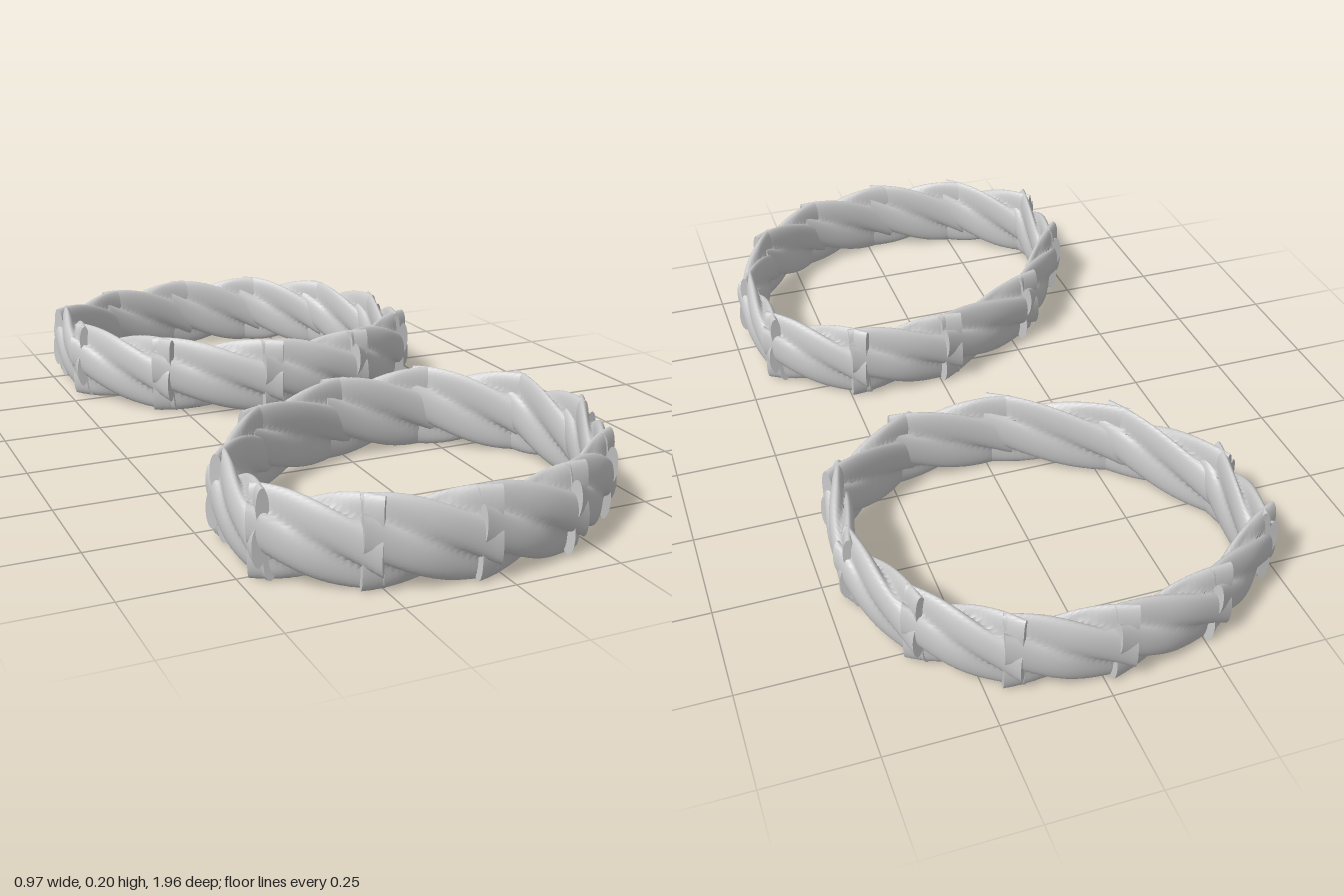
import * as THREE from 'three';

const CENTRE_Y = 0.105;
const STRANDS = 4, AROUND = 64, STEPS = 20, OVERHANG = 0.11;
const TWIST = THREE.MathUtils.degToRad(112);

// Corner points (x, z) of the slightly skewed oval band
const CORNERS = [
  [-0.03, 0.195], [0.22, 0.195], [0.415, 0.335], [0.44, 0.56], [0.355, 0.77], [0.185, 0.905],
  [-0.04, 0.945], [-0.27, 0.9], [-0.45, 0.765], [-0.45, 0.55], [-0.29, 0.325],
];

// Outline of round strands bundled together, as a radius for each angle
function bundleRadius(angle) {
  const step = (Math.PI * 2) / STRANDS;
  const a = angle - Math.round(angle / step) * step;
  const d = 0.57, q = 0.43;
  return d * Math.cos(a) + Math.sqrt(q * q - (d * Math.sin(a)) ** 2);
}

// One twisted length of rope between two corners, flared and overshooting at both ends
function ropePiece([x0, z0], [x1, z1]) {
  const dx = x1 - x0, dz = z1 - z0, len = Math.hypot(dx, dz);
  const ox = dz / len, oz = -dx / len; // outward direction
  const pos = [], index = [];
  const ring = (u) => {
    const twist = Math.PI / STRANDS + (u - 0.5) * TWIST;
    const flare = Math.abs(2 * u - 1) ** 3;
    const halfDepth = 0.028 + 0.005 * flare;
    const halfHeight = 0.1 + 0.003 * flare;
    const bulge = 0.012 * Math.sin(Math.PI * u);
    for (let j = 0; j < AROUND; j++) {
      const t = (j / AROUND) * Math.PI * 2;
      const r = bundleRadius(t - twist);
      // Only the outer face arches; the inner face stays straight
      const out = Math.cos(t) * r * halfDepth + bulge * Math.max(0, Math.cos(t));
      pos.push(x0 + dx * u + ox * out, Math.sin(t) * r * halfHeight, z0 + dz * u + oz * out);
    }
  };
  const at = (i) => -OVERHANG + (1 + 2 * OVERHANG) * (i / STEPS);
  for (let i = 0; i <= STEPS; i++) ring(at(i));
  for (let i = 0; i < STEPS; i++) {
    for (let j = 0; j < AROUND; j++) {
      const k = (j + 1) % AROUND;
      const a = i * AROUND + j, b = i * AROUND + k, c = a + AROUND, d = b + AROUND;
      index.push(a, b, c, b, d, c);
    }
  }
  // Flat cut ends with their own vertices, so the edges stay sharp
  for (const end of [0, 1]) {
    const u = at(end * STEPS), start = pos.length / 3;
    ring(u);
    const centre = pos.length / 3;
    pos.push(x0 + dx * u, 0, z0 + dz * u);
    for (let j = 0; j < AROUND; j++) {
      const a = start + j, b = start + (j + 1) % AROUND;
      if (end) index.push(centre, a, b);
      else index.push(centre, b, a);
    }
  }
  const geo = new THREE.BufferGeometry();
  geo.setAttribute('position', new THREE.Float32BufferAttribute(pos, 3));
  geo.setIndex(index);
  geo.computeVertexNormals();
  return geo;
}

export function createModel() {
  const model = new THREE.Group();
  model.name = 'ropeBangles';
  const material = new THREE.MeshStandardMaterial({ color: 0xcccccc });
  const pieces = CORNERS.map((p, i) => ropePiece(p, CORNERS[(i + 1) % CORNERS.length]));

  // The second bangle is the first turned over, so the twist keeps its direction
  for (const [name, turn] of [['frontBangle', 0], ['backBangle', Math.PI]]) {
    const bangle = new THREE.Group();
    bangle.name = name;
    pieces.forEach((geo, i) => {
      const mesh = new THREE.Mesh(geo, material);
      mesh.name = `ropePiece${i + 1}`;
      bangle.add(mesh);
    });
    bangle.rotation.x = turn;
    bangle.position.y = CENTRE_Y;
    model.add(bangle);
  }
  return model;
}
